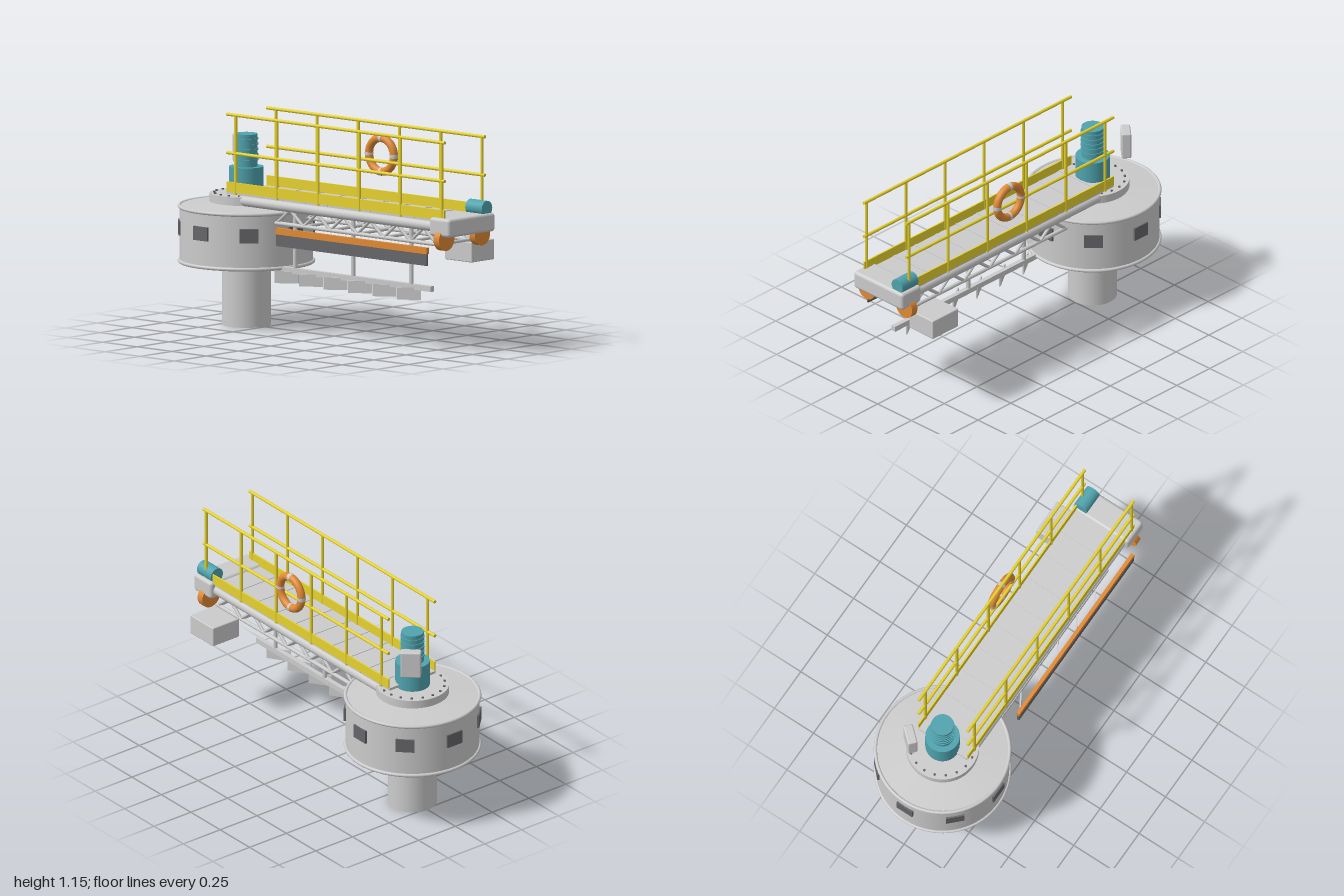
import * as THREE from 'three';
import { RoundedBoxGeometry } from 'three/addons/geometries/RoundedBoxGeometry.js';

const mat = (color) => new THREE.MeshStandardMaterial({ color });
const V = (x, y, z) => new THREE.Vector3(x, y, z);

export function createModel() {
  const model = new THREE.Group();
  const grey = mat(0xcccccc), dark = mat(0x66666a), teal = mat(0x4fa3ae);
  const yellow = mat(0xe6d22e), orange = mat(0xe08a35), white = mat(0xf2f2f2);
  const shell = mat(0xcccccc);
  shell.side = THREE.DoubleSide;
  const CX = -0.635; // axis of the pivot drum

  const add = (name, geo, material, x = 0, y = 0, z = 0, parent = model) => {
    const m = new THREE.Mesh(geo, material);
    m.name = name;
    m.position.set(x, y, z);
    parent.add(m);
    return m;
  };
  const box = (name, w, h, d, material, x, y, z, parent) =>
    add(name, new THREE.BoxGeometry(w, h, d), material, x, y, z, parent);
  const cyl = (name, r, y0, y1, material, x = CX, z = 0, parent = model, seg = 40) =>
    add(name, new THREE.CylinderGeometry(r, r, y1 - y0, seg), material, x, (y0 + y1) / 2, z, parent);
  // round bar between two points
  const rod = (name, a, b, r, material, parent = model, seg = 12) => {
    const m = add(name, new THREE.CylinderGeometry(r, r, a.distanceTo(b), seg), material, 0, 0, 0, parent);
    m.position.copy(a).add(b).multiplyScalar(0.5);
    m.quaternion.setFromUnitVectors(V(0, 1, 0), b.clone().sub(a).normalize());
    return m;
  };
  const group = (name) => {
    const g = new THREE.Group();
    g.name = name;
    model.add(g);
    return g;
  };

  // central column and drum
  cyl('column', 0.13, 0, 0.36, grey, CX, 0, model, 48);
  const drum = group('drum');
  cyl('drumWall', 0.355, 0.34, 0.642, grey, CX, 0, drum, 64);
  const roof = [[0.355, 0.642], [0.12, 0.66]].map((p) => new THREE.Vector2(...p));
  add('drumRoof', new THREE.LatheGeometry(roof, 64), shell, CX, 0, 0, drum);
  for (const y of [0.345, 0.638]) {
    const rim = add('drumRim', new THREE.TorusGeometry(0.356, 0.01, 10, 72), grey, CX, y, 0, drum);
    rim.rotation.x = Math.PI / 2;
  }
  for (let i = 0; i < 8; i++) {
    const a = (i * Math.PI) / 4;
    const w = box('drumWindow', 0.1, 0.075, 0.02, dark, CX + 0.352 * Math.sin(a), 0.525, 0.352 * Math.cos(a), drum);
    w.rotation.y = a;
  }

  // turntable with a ring of bolts
  const turntable = group('turntable');
  cyl('turntableNeck', 0.13, 0.645, 0.69, grey, CX, 0, turntable);
  cyl('turntableFlange', 0.195, 0.663, 0.708, grey, CX, 0, turntable, 56);
  for (let i = 0; i < 18; i++) {
    const a = (i * Math.PI) / 9;
    cyl('flangeBolt', 0.007, 0.7, 0.715, dark, CX + 0.172 * Math.cos(a), 0.172 * Math.sin(a), turntable, 6);
  }

  // centre drive motor with cooling fins
  const drive = group('centreDrive');
  cyl('gearbox', 0.092, 0.7, 0.85, teal, CX, 0, drive);
  cyl('motorBody', 0.06, 0.85, 1.025, teal, CX, 0, drive);
  for (let i = 0; i < 5; i++) cyl('motorFin', 0.065, 0.884 + i * 0.028, 0.89 + i * 0.028, teal, CX, 0, drive);
  const cabinet = add('controlCabinet', new RoundedBoxGeometry(0.11, 0.15, 0.052, 3, 0.008), grey, -0.767, 0.925, -0.117);
  cabinet.rotation.y = 0.84;

  // walkway deck and cross battens
  const bridge = group('bridge');
  box('deck', 1.5, 0.014, 0.31, grey, 0.115, 0.724, 0, bridge);
  for (let i = 0; i < 10; i++) box('deckBatten', 0.014, 0.012, 0.316, grey, -0.54 + i * 0.157, 0.728, 0, bridge);

  // both sides: beam, truss, kick plate and railing
  for (const s of [1, -1]) {
    const z = 0.157 * s, tz = 0.125 * s;
    rod('mainBeam', V(-0.56, 0.688, 0.137 * s), V(0.88, 0.688, 0.137 * s), 0.028, grey, bridge, 20);
    rod('lowerChord', V(-0.31, 0.59, tz), V(0.87, 0.59, tz), 0.011, grey, bridge);
    const n = 12, step = 1.16 / n;
    for (let i = 0; i < n; i++) {
      const y = (k) => (k % 2 ? 0.67 : 0.59);
      rod('trussDiagonal', V(-0.3 + i * step, y(i), tz), V(-0.3 + (i + 1) * step, y(i + 1), tz), 0.009, grey, bridge, 8);
    }
    const rail = group(s > 0 ? 'frontRailing' : 'backRailing');
    box('kickPlate', 1.575, 0.055, 0.008, yellow, 0.157, 0.757, z, rail);
    for (const y of [0.94, 1.146]) rod('handRail', V(-0.63, y, z), V(0.945, y, z), 0.009, yellow, rail);
    for (let i = 0; i < 6; i++) cyl('railPost', 0.0085, 0.72, 1.146, yellow, -0.567 + i * 0.298, z, rail, 12);
  }
  for (let i = 0; i < 7; i++) {
    const x = -0.3 + (i * 1.16) / 6;
    rod('trussCrossbar', V(x, 0.59, -0.125), V(x, 0.59, 0.125), 0.009, grey, bridge, 8);
  }

  // lifebuoy with white bands
  const buoy = group('lifebuoy');
  buoy.position.set(0.18, 0.972, -0.175);
  add('buoyRing', new THREE.TorusGeometry(0.09, 0.022, 16, 48), orange, 0, 0, 0, buoy);
  for (let i = 0; i < 4; i++) {
    const band = add('buoyBand', new THREE.TorusGeometry(0.09, 0.0228, 16, 4, 0.2), white, 0, 0, 0, buoy);
    band.rotation.z = (i * Math.PI) / 2 - 0.1;
  }

  // end carriage with wheels and its motor
  const carriage = group('endCarriage');
  add('carriageBody', new RoundedBoxGeometry(0.148, 0.1, 0.366, 4, 0.018), grey, 0.926, 0.692, 0, carriage);
  for (const s of [1, -1]) {
    rod('wheel', V(0.903, 0.625, 0.14 * s), V(0.943, 0.625, 0.14 * s), 0.06, orange, carriage, 36);
  }
  rod('carriageMotor', V(0.865, 0.768, -0.13), V(0.985, 0.768, -0.13), 0.041, teal, carriage, 28);

  // scum box behind the bridge
  add('scumBox', new RoundedBoxGeometry(0.195, 0.11, 0.178, 2, 0.006), grey, 0.787, 0.523, -0.208);

  // surface skimmer: clamp strip and rubber blade
  box('skimmerStrip', 1.09, 0.034, 0.02, orange, 0.32, 0.564, 0.205);
  box('skimmerBlade', 1.09, 0.066, 0.011, dark, 0.32, 0.517, 0.207);

  // bottom scraper hung from the bridge
  const scraper = group('scraper');
  box('scraperBeam', 1.14, 0.03, 0.026, grey, 0.22, 0.34, 0.088, scraper);
  for (const x of [-0.2, 0.22, 0.64]) cyl('scraperHanger', 0.012, 0.34, 0.68, grey, x, 0.088, scraper, 14);
  for (let i = 0; i < 6; i++) {
    const blade = box('scraperBlade', 0.13, 0.065, 0.008, grey, -0.24 + i * 0.177, 0.304, 0.113, scraper);
    blade.rotation.y = 0.58;
  }
  return model;
}
